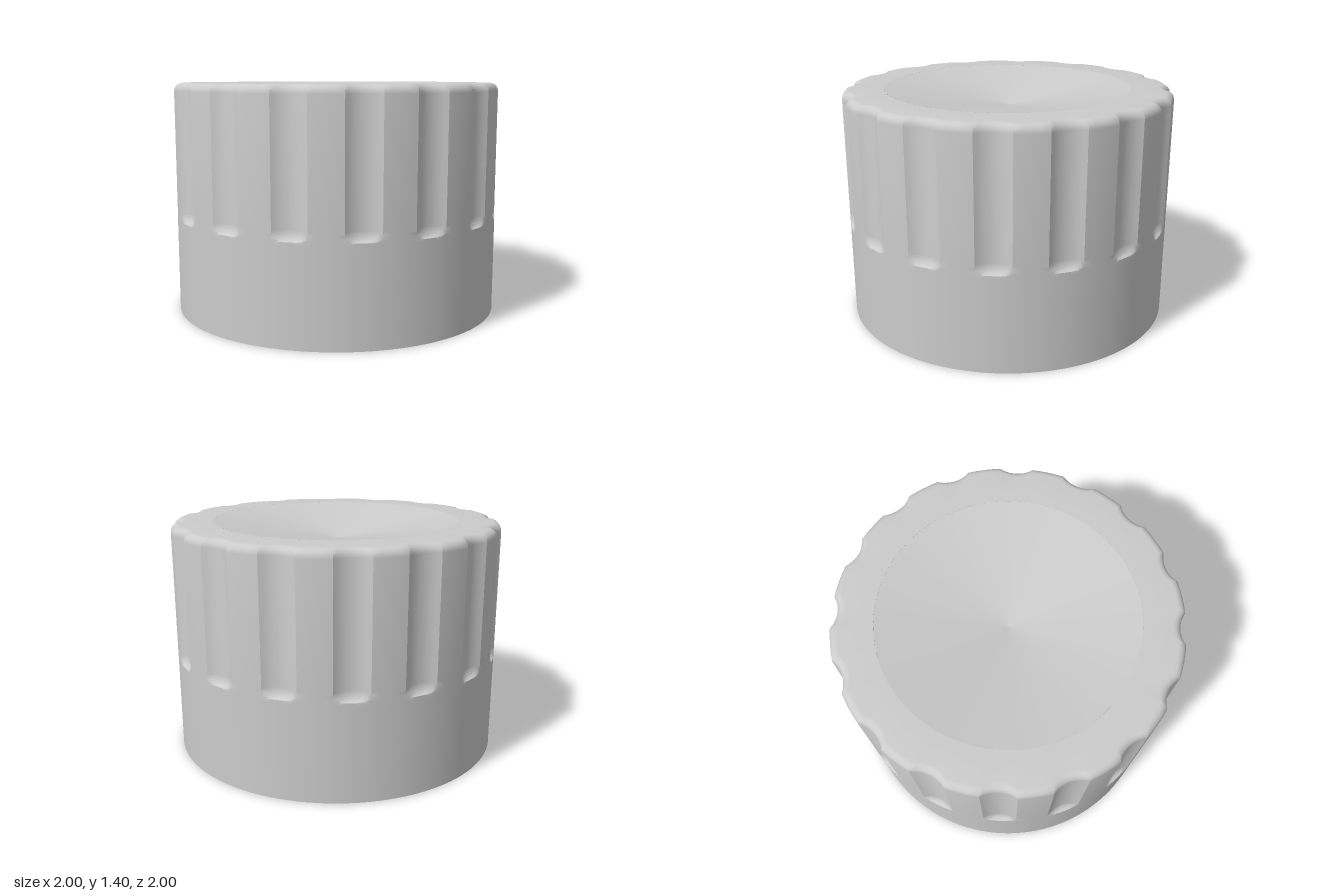
import * as THREE from 'three';
import { toCreasedNormals } from 'three/addons/utils/BufferGeometryUtils.js';

const FLUTES = 16, HALF = 0.1, DEPTH = 0.035, HEIGHT = 1.4, FILLET = 0.05;
const DISH_R = 0.75, DISH_Y = 1.28, CONE_R = 0.35, CONE_Y = 0.39;

const material = new THREE.MeshStandardMaterial({ color: 0xcccccc, side: THREE.DoubleSide });

function part(name, geometry, crease) {
  const mesh = new THREE.Mesh(crease ? toCreasedNormals(geometry, crease) : geometry, material);
  mesh.name = name;
  return mesh;
}

// Wall radius: a circular scoop cut into the unit cylinder, fading out at its lower end
function wallRadius(offset, y) {
  const chord = Math.sqrt(1 - HALF * HALF);
  const sag = DEPTH - (1 - chord);
  const rho = (HALF * HALF + sag * sag) / (2 * sag);
  const c = 1 - DEPTH + rho;
  const s = c * Math.sin(offset);
  if (Math.abs(s) >= rho) return 1;
  const scoop = c * Math.cos(offset) - Math.sqrt(rho * rho - s * s);
  const t = Math.min(1, Math.max(0, (0.65 - y) / 0.065));
  return Math.min(1, scoop + DEPTH * (1 - Math.sqrt(1 - t * t)));
}

// Fluted wall, rounded top edge and flat rim as one grid
function gripGeometry() {
  const half = Math.asin(HALF), pitch = (Math.PI * 2) / FLUTES;
  const columns = [];
  for (let f = 0; f < FLUTES; f++) {
    for (let i = 0; i < 10; i++) columns.push({ a: f * pitch, o: -half + (2 * half * i) / 10 });
    for (let i = 0; i < 4; i++) columns.push({ a: f * pitch, o: half + ((pitch - 2 * half) * i) / 4 });
  }
  const rows = [{ y: 0, inset: 0 }, { y: 0.57, inset: 0 }];
  for (let i = 0; i <= 8; i++) rows.push({ y: 0.585 + (0.065 * i) / 8, inset: 0 });
  for (let i = 0; i <= 6; i++) {
    const t = (i / 6) * (Math.PI / 2);
    rows.push({ y: HEIGHT - FILLET + FILLET * Math.sin(t), inset: FILLET * (1 - Math.cos(t)) });
  }
  rows.push({ y: HEIGHT, fixed: DISH_R });

  const positions = [], index = [], n = columns.length;
  for (const row of rows) {
    for (const { a, o } of columns) {
      const offset = o > half ? 1 : o;
      const r = row.fixed ?? (offset === 1 ? 1 : wallRadius(o, row.y)) - row.inset;
      positions.push(r * Math.sin(a + o), row.y, r * Math.cos(a + o));
    }
  }
  for (let j = 0; j < rows.length - 1; j++) {
    for (let i = 0; i < n; i++) {
      const k = (i + 1) % n;
      const p = j * n + i, q = j * n + k;
      index.push(p, q, q + n, p, q + n, p + n);
    }
  }
  const g = new THREE.BufferGeometry();
  g.setAttribute('position', new THREE.Float32BufferAttribute(positions, 3));
  g.setIndex(index);
  return g;
}

// Boss with a toothed hole for the shaft
function socketGeometry(depth) {
  const shape = new THREE.Shape().absarc(0, 0, CONE_R, 0, Math.PI * 2);
  const teeth = 20, points = [];
  for (let i = 0; i < teeth * 2; i++) {
    const a = (i * Math.PI) / teeth, r = i % 2 ? 0.265 : 0.3;
    points.push(new THREE.Vector2(r * Math.cos(a), r * Math.sin(a)));
  }
  shape.holes.push(new THREE.Path(points));
  const g = new THREE.ExtrudeGeometry(shape, { depth, bevelEnabled: false, curveSegments: 32 });
  return g.rotateX(-Math.PI / 2).translate(0, CONE_Y, 0);
}

export function createModel() {
  const knob = new THREE.Group();
  knob.name = 'knob';

  knob.add(part('flutedGrip', gripGeometry(), 0.6));

  // Shallow conical dish in the top face
  const dish = new THREE.LatheGeometry(
    [new THREE.Vector2(DISH_R, HEIGHT), new THREE.Vector2(0, DISH_Y)], 64);
  knob.add(part('topDish', dish));

  // Flat base ring and the funnel leading up to the socket
  const underside = new THREE.LatheGeometry([
    new THREE.Vector2(CONE_R, CONE_Y),
    new THREE.Vector2(0.75, 0),
    new THREE.Vector2(1, 0),
  ], 64);
  knob.add(part('undersideFunnel', underside, 0.4));

  const depth = 0.6;
  knob.add(part('splinedSocket', socketGeometry(depth), 0.3));

  // Closed end of the socket
  const end = new THREE.CircleGeometry(0.32, 40).rotateX(Math.PI / 2).translate(0, CONE_Y + depth, 0);
  knob.add(part('socketEnd', end));

  return knob;
}
